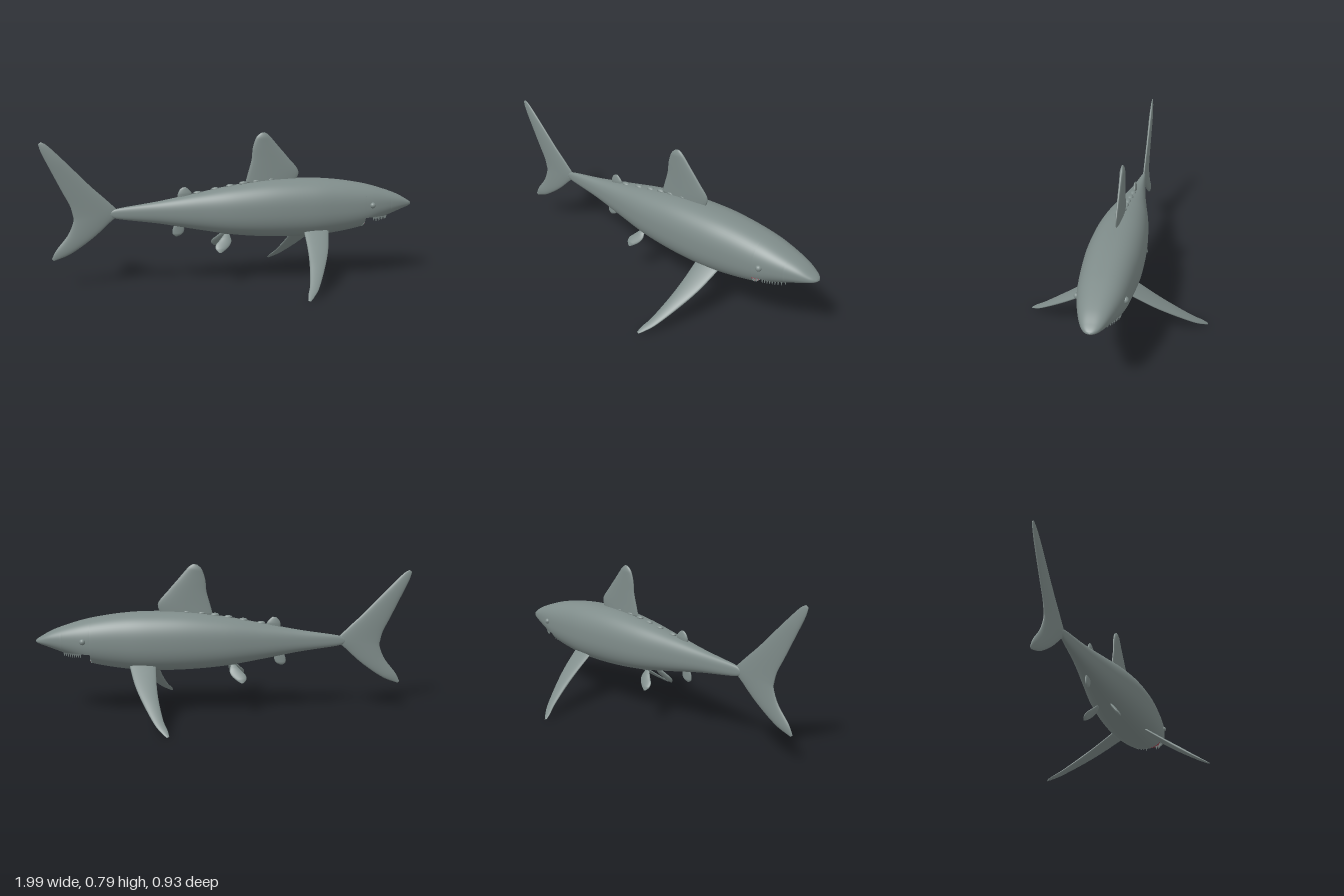
import * as THREE from 'three';

const skin = new THREE.MeshStandardMaterial({ color: 0x7f8c8a, side: THREE.DoubleSide });
skin.name = 'slate skin';
const red = new THREE.MeshStandardMaterial({ color: 0xb03648, side: THREE.DoubleSide });
red.name = 'mouth red';

// Body stations: x, top, bottom, half width
const stations = [
  [-0.65, 0.395, 0.365, 0.008], [-0.6, 0.41, 0.35, 0.015], [-0.4, 0.44, 0.322, 0.04],
  [-0.2, 0.478, 0.285, 0.075], [0, 0.515, 0.252, 0.112], [0.2, 0.54, 0.236, 0.134],
  [0.4, 0.545, 0.234, 0.14], [0.55, 0.536, 0.248, 0.132], [0.7, 0.513, 0.276, 0.117],
  [0.8, 0.487, 0.315, 0.097], [0.9, 0.452, 0.353, 0.068], [0.96, 0.42, 0.375, 0.042],
  [0.985, 0.404, 0.385, 0.021], [0.993, 0.394, 0.392, 0.002],
];
const LAST = stations.length - 1, JAW = 8, LIP = 0.335, POWER = 2.4;
const spline = pts => new THREE.CatmullRomCurve3(pts, false, 'catmullrom', 0.5);
const upper = spline(stations.map(([x, top, , w]) => new THREE.Vector3(x, top, w)));
const lower = spline(stations.map(([x, , bottom]) => new THREE.Vector3(x, bottom, 0)));

// Point on the skin at station k and angle a from the top
function skinPoint(k, a) {
  const u = upper.getPoint(k / LAST), b = lower.getPoint(k / LAST).y;
  const soft = v => Math.sign(v) * Math.abs(v) ** (2 / POWER);
  return new THREE.Vector3(u.x, (u.y + b) / 2 + (u.y - b) / 2 * soft(Math.cos(a)), u.z * soft(Math.sin(a)));
}

// Angle at which the section meets the upper lip
function lipAngle(k) {
  const top = upper.getPoint(k / LAST).y, bottom = lower.getPoint(k / LAST).y;
  const v = ((top + bottom) / 2 - LIP) / ((top - bottom) / 2);
  return v >= 1 ? Math.PI : Math.PI - Math.acos(Math.max(v, 0) ** (POWER / 2));
}

// Smooth surface through rows of points
function surface(rows, closed) {
  const n = rows[0].length, index = [];
  for (let r = 0; r < rows.length - 1; r++) {
    for (let i = 0; i < (closed ? n : n - 1); i++) {
      const a = r * n + i, b = r * n + (i + 1) % n;
      index.push(a, b, a + n, b, b + n, a + n);
    }
  }
  const g = new THREE.BufferGeometry().setFromPoints(rows.flat());
  g.setIndex(index);
  g.computeVertexNormals();
  return g;
}

const steps = (n, f) => Array.from({ length: n + 1 }, (_, i) => f(i / n));

function add(parent, name, geometry, material = skin) {
  const mesh = new THREE.Mesh(geometry, material);
  mesh.name = name;
  parent.add(mesh);
  return mesh;
}

// Lens-section fin from edge pairs [leadX, leadY, trailX, trailY], bottom to top
function finGeometry(pairs, thick) {
  const lead = spline(pairs.map(p => new THREE.Vector3(p[0], p[1], 0)));
  const trail = spline(pairs.map(p => new THREE.Vector3(p[2], p[3], 0)));
  const rows = steps(32, t => {
    const a = lead.getPoint(t), b = trail.getPoint(t);
    const mid = a.clone().add(b).multiplyScalar(0.5), half = a.clone().sub(b).multiplyScalar(0.5);
    const th = Math.min(thick, half.length() * 0.3);
    return steps(23, s => {
      const q = s * Math.PI * 2 * 23 / 24;
      return mid.clone().addScaledVector(half, Math.cos(q)).setZ(-th * Math.sin(q));
    });
  });
  const cap = row => {
    const c = row.reduce((s, p) => s.add(p), new THREE.Vector3()).divideScalar(row.length);
    return row.map(() => c.clone());
  };
  return surface([cap(rows[0]), ...rows, cap(rows[rows.length - 1])], true);
}

export function createModel() {
  const model = new THREE.Group();
  model.name = 'shark';

  // Torso up to the lower jaw, then the head above the lip line
  const ring = (k, max) => steps(64, s => skinPoint(k, (s * 2 - 1) * max));
  const tailEnd = steps(64, () => new THREE.Vector3(-0.655, 0.38, 0));
  add(model, 'torso', surface([tailEnd, ...steps(80, t => ring(t * JAW, Math.PI))], false));
  add(model, 'head', surface(steps(80, t => {
    const k = JAW + t * (LAST - JAW);
    return ring(k, lipAngle(k));
  }), false));

  // Red mouth lining: arched palate and hollow throat
  const palateRow = t => {
    const k = JAW + t * 1.55, edge = skinPoint(k, lipAngle(k));
    return steps(32, s => {
      const c = s * 2 - 1;
      return new THREE.Vector3(edge.x, edge.y + 0.03 * (1 - c * c) * (1 - t), edge.z * c);
    });
  };
  const roof = palateRow(0), jawAngle = lipAngle(JAW);
  const jawEdge = steps(32, s => skinPoint(JAW, -jawAngle - s * 2 * (Math.PI - jawAngle)));
  const throat = steps(12, t => roof.map((p, i) => {
    const c = i / 16 - 1, v = jawEdge[i].clone().lerp(p, t);
    v.x -= 0.06 * Math.sin(Math.PI * t) * (1 - c * c);
    return v;
  }));
  add(model, 'palate', surface(steps(16, palateRow), false), red);
  add(model, 'throat', surface(throat, false), red);

  // Teeth along both lips
  const tooth = new THREE.ConeGeometry(0.006, 0.026, 8);
  for (const side of [-1, 1]) {
    for (let i = 0; i < 9; i++) {
      const k = JAW + 0.5 + i * 0.115, p = skinPoint(k, side * lipAngle(k));
      const up = add(model, 'upperTooth', tooth);
      up.position.set(p.x - 0.003, p.y - 0.01, p.z * 0.97);
      up.rotation.x = Math.PI;
    }
    for (let i = 0; i < 7; i++) {
      const p = skinPoint(JAW, side * (Math.PI - 0.06 - i * 0.13));
      const low = add(model, 'lowerTooth', tooth);
      low.position.set(p.x - 0.002, p.y + 0.008, p.z * 0.97);
      low.scale.setScalar(0.75);
    }
  }

  // Eyes
  for (const side of [-1, 1]) {
    const eye = add(model, side > 0 ? 'nearEye' : 'farEye', new THREE.SphereGeometry(0.016, 24, 16));
    eye.position.set(0.735, 0.403, side * 0.109);
  }

  // Fins on the centre line
  add(model, 'dorsalFin', finGeometry([
    [0.33, 0.52, 0.06, 0.525], [0.35, 0.585, 0.075, 0.58], [0.295, 0.655, 0.094, 0.65],
    [0.24, 0.718, 0.1, 0.71], [0.19, 0.775, 0.118, 0.765], [0.165, 0.793, 0.143, 0.79],
  ], 0.012));
  add(model, 'tailFin', finGeometry([
    [-0.945, 0.142, -0.955, 0.152], [-0.86, 0.175, -0.93, 0.2], [-0.75, 0.25, -0.87, 0.275],
    [-0.66, 0.33, -0.84, 0.345], [-0.61, 0.385, -0.842, 0.38], [-0.66, 0.445, -0.855, 0.43],
    [-0.75, 0.53, -0.89, 0.5], [-0.86, 0.645, -0.938, 0.6], [-0.95, 0.735, -0.985, 0.7],
    [-0.985, 0.757, -0.999, 0.746],
  ], 0.011));
  add(model, 'secondDorsalFin', finGeometry([
    [-0.225, 0.455, -0.3, 0.45], [-0.227, 0.48, -0.3, 0.475], [-0.243, 0.5, -0.29, 0.497],
    [-0.257, 0.511, -0.275, 0.51],
  ], 0.011));
  add(model, 'analFin', finGeometry([
    [-0.302, 0.25, -0.315, 0.25], [-0.278, 0.263, -0.329, 0.263], [-0.268, 0.285, -0.33, 0.285],
    [-0.272, 0.315, -0.32, 0.315],
  ], 0.008));

  // Paired fins, sloping down and outward
  const pectoral = finGeometry([
    [0.298, -0.452, 0.286, -0.446], [0.322, -0.425, 0.294, -0.41], [0.36, -0.37, 0.317, -0.345],
    [0.42, -0.24, 0.342, -0.22], [0.465, -0.12, 0.355, -0.11], [0.5, 0.02, 0.362, 0.02],
  ], 0.012);
  const pelvic = finGeometry([
    [-0.085, -0.093, -0.098, -0.09], [-0.06, -0.075, -0.112, -0.07], [-0.036, -0.05, -0.11, -0.046],
    [-0.025, -0.022, -0.09, -0.022], [-0.032, 0.015, -0.06, 0.015],
  ], 0.008);
  for (const side of [-1, 1]) {
    const pair = new THREE.Group();
    pair.name = side > 0 ? 'nearPairedFins' : 'farPairedFins';
    pair.scale.z = side;
    const front = add(pair, 'pectoralFin', pectoral);
    front.position.set(0, 0.265, 0.1);
    front.rotation.x = -0.943;
    const rear = add(pair, 'pelvicFin', pelvic);
    rear.position.set(0, 0.247, 0.045);
    rear.rotation.x = -0.63;
    model.add(pair);
  }

  // Row of small bumps along the back
  const bumps = [[-0.195, 0.478], [-0.1, 0.496], [-0.02, 0.511], [0.05, 0.524], [0.12, 0.533], [0.2, 0.541]];
  for (const [x, y] of bumps) {
    const bump = add(model, 'backBump', new THREE.SphereGeometry(1, 20, 12));
    bump.position.set(x, y, 0);
    bump.scale.set(0.023, 0.011, 0.015);
  }
  return model;
}
